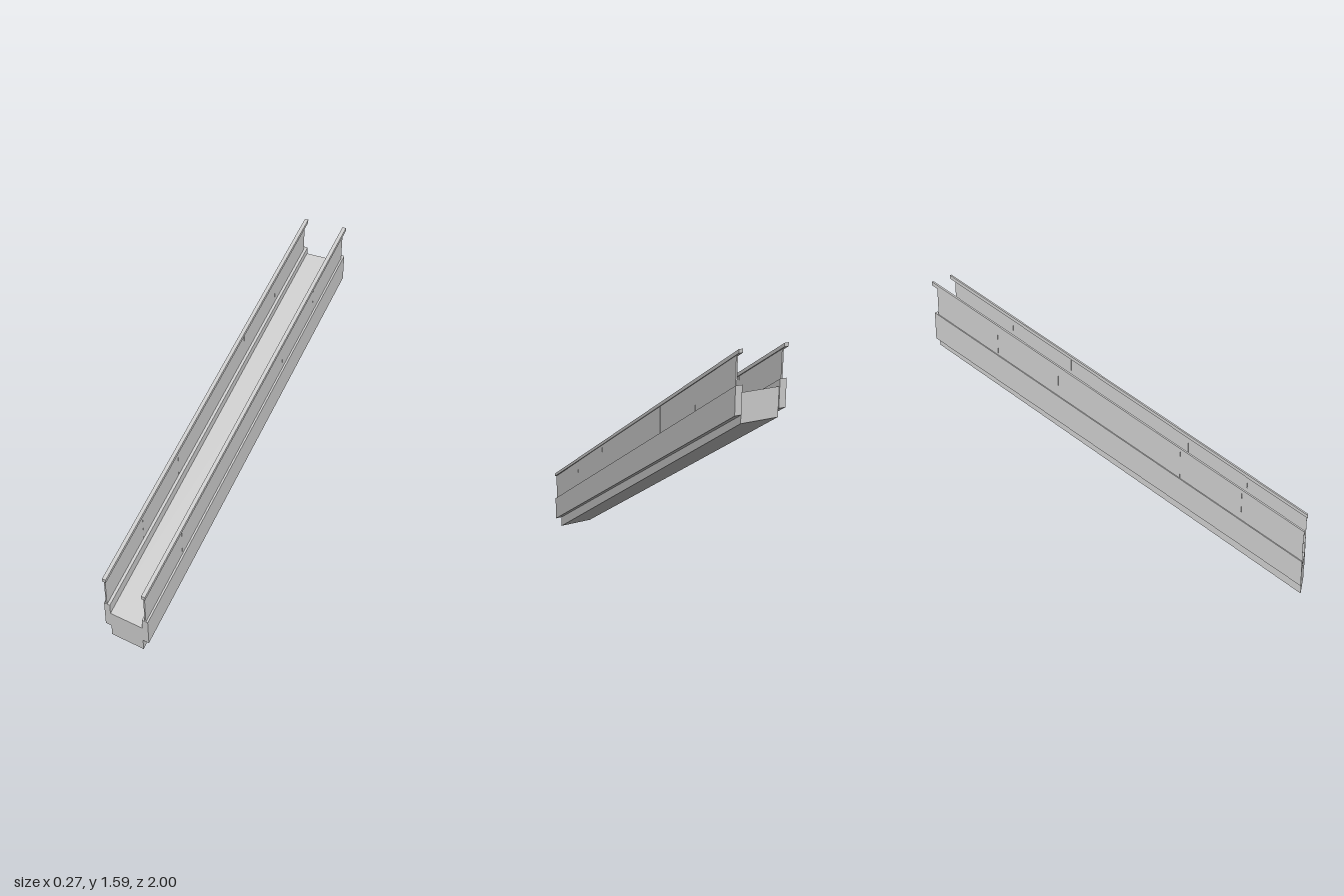
import * as THREE from 'three';

const material = new THREE.MeshStandardMaterial({ color: 0xcccccc, flatShading: true });

// Sloping bar with plumb ends: bottom edge runs from y0 at z0 (front) to y1 at z1 (back).
function slopedBar(name, x, width, height, z0, y0, z1, y1) {
  const length = z0 - z1;
  const geometry = new THREE.BoxGeometry(width, height, length);
  geometry.translate(0, height / 2, 0);
  const p = geometry.attributes.position;
  for (let i = 0; i < p.count; i++) {
    const t = 0.5 - p.getZ(i) / length;
    p.setY(i, p.getY(i) + y0 + (y1 - y0) * t);
  }
  geometry.translate(x, 0, (z0 + z1) / 2);
  geometry.computeVertexNormals();
  const mesh = new THREE.Mesh(geometry, material);
  mesh.name = name;
  return mesh;
}

export function createModel() {
  const model = new THREE.Group();
  model.name = 'inclinedWalkway';

  // Central sloping tread
  model.add(slopedBar('ramp', 0, 0.2, 0.143, 0.995, 0, -0.985, 1.243));

  for (const side of [1, -1]) {
    const balustrade = new THREE.Group();
    balustrade.name = side > 0 ? 'leftBalustrade' : 'rightBalustrade';

    // Solid skirt beside the tread
    balustrade.add(slopedBar('skirt', side * 0.118, 0.036, 0.137, 0.995, 0.06, -0.99, 1.285));

    // Six upright panels standing on the skirt
    const front = 0.995, back = -0.975, count = 6;
    const step = (front - back) / count;
    const baseAt = (z) => 0.195 + (front - z) * 0.617;
    for (let i = 0; i < count; i++) {
      const z0 = front - i * step, z1 = z0 - step + 0.001;
      balustrade.add(slopedBar('panel', side * 0.121, 0.008, 0.15, z0, baseAt(z0), z1, baseAt(z1)));
    }

    // Handrail along the panel tops
    balustrade.add(slopedBar('handrail', side * 0.12, 0.022, 0.018, 1, 0.345, -1, 1.567));
    model.add(balustrade);
  }
  return model;
}
